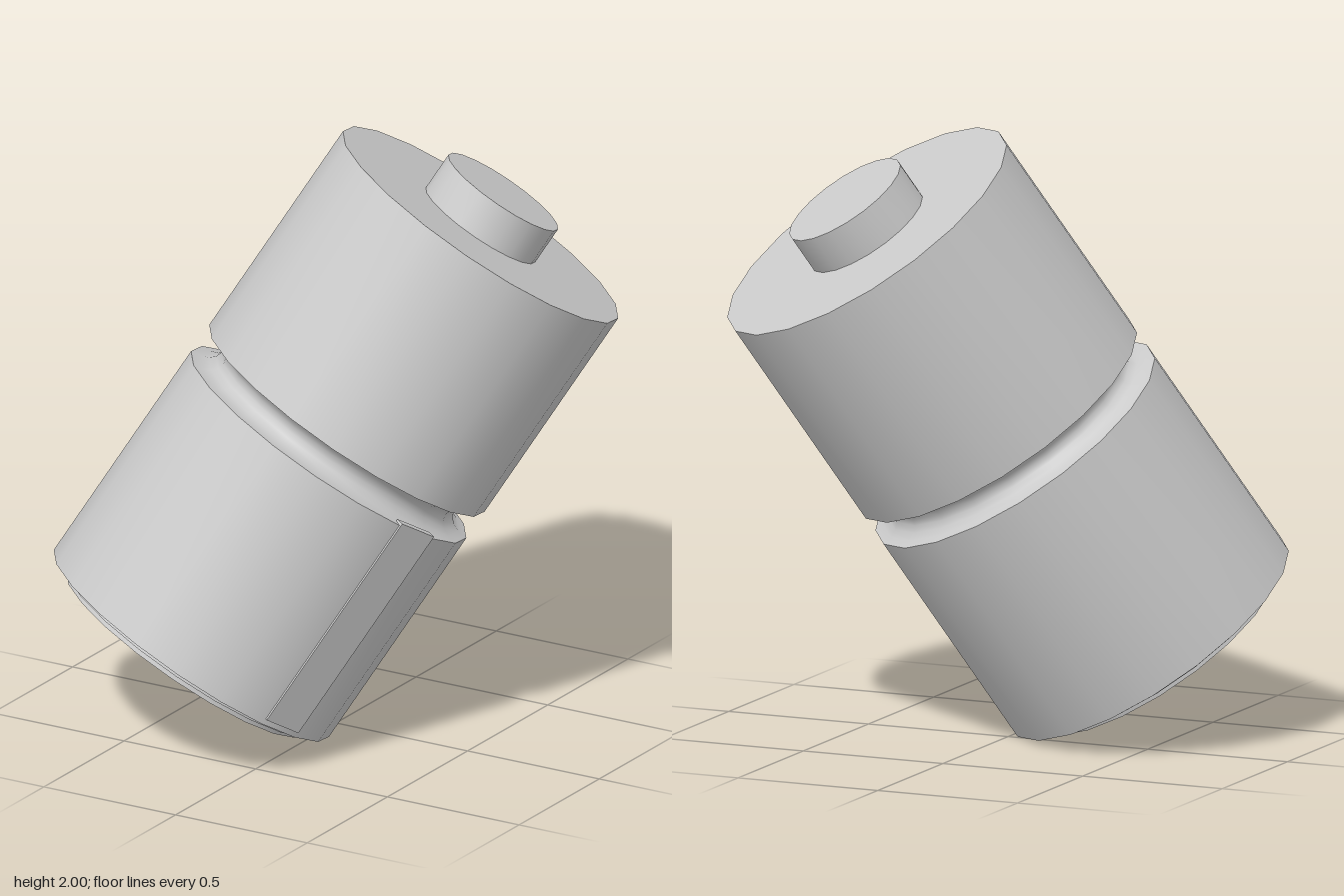
import * as THREE from 'three';
import { toCreasedNormals } from 'three/addons/utils/BufferGeometryUtils.js';

const SIDES = 20;
const material = new THREE.MeshStandardMaterial({ color: 0xcccccc });

// Turned part from [radius, height] pairs listed bottom to top
function turned(name, profile) {
  const points = profile.map(([r, y]) => new THREE.Vector2(r, y));
  const lathe = new THREE.LatheGeometry(points, SIDES, Math.PI / SIDES);
  const mesh = new THREE.Mesh(toCreasedNormals(lathe, 1.4), material);
  mesh.name = name;
  return mesh;
}

export function createModel() {
  const R = 0.54, LENGTH = 1.685;
  const can = new THREE.Group();
  can.name = 'tiltedCell';

  // Rounded groove around the middle of the casing
  const groove = [];
  for (let i = 0; i <= 8; i++) {
    const a = (i / 8) * Math.PI;
    groove.push([R - 0.083 * Math.sin(a), 0.853 - 0.053 * Math.cos(a)]);
  }
  can.add(turned('casing', [[0, 0], [R, 0], ...groove, [R, LENGTH], [0, LENGTH]]));

  // Stepped contact under the base
  can.add(turned('baseContact', [
    [0, -0.038], [0.465, -0.038], [0.465, -0.02], [0.482, -0.02], [0.482, 0.01],
  ]));

  // Terminal button on top
  can.add(turned('topTerminal', [
    [0.215, LENGTH - 0.01], [0.215, LENGTH + 0.132], [0, LENGTH + 0.132],
  ]));

  // Flat strip along one side of the lower casing, ending at the groove
  const strip = new THREE.Mesh(new THREE.BoxGeometry(0.03, 0.79, 0.16), material);
  strip.name = 'sideStrip';
  strip.position.set(0.525, 0.415, 0);
  can.add(strip);

  // Lean the cell: local y follows the axis, local x points at the strip
  const axis = new THREE.Vector3(0.428, 0.826, -0.368).normalize();
  const out = new THREE.Vector3(0.87, -0.265, 0.415);
  out.addScaledVector(axis, -out.dot(axis)).normalize();
  const side = new THREE.Vector3().crossVectors(out, axis);
  can.quaternion.setFromRotationMatrix(new THREE.Matrix4().makeBasis(out, axis, side));
  can.position.set(-0.36, 0.305, 0.31);

  const model = new THREE.Group();
  model.name = 'cell';
  model.add(can);
  return model;
}
